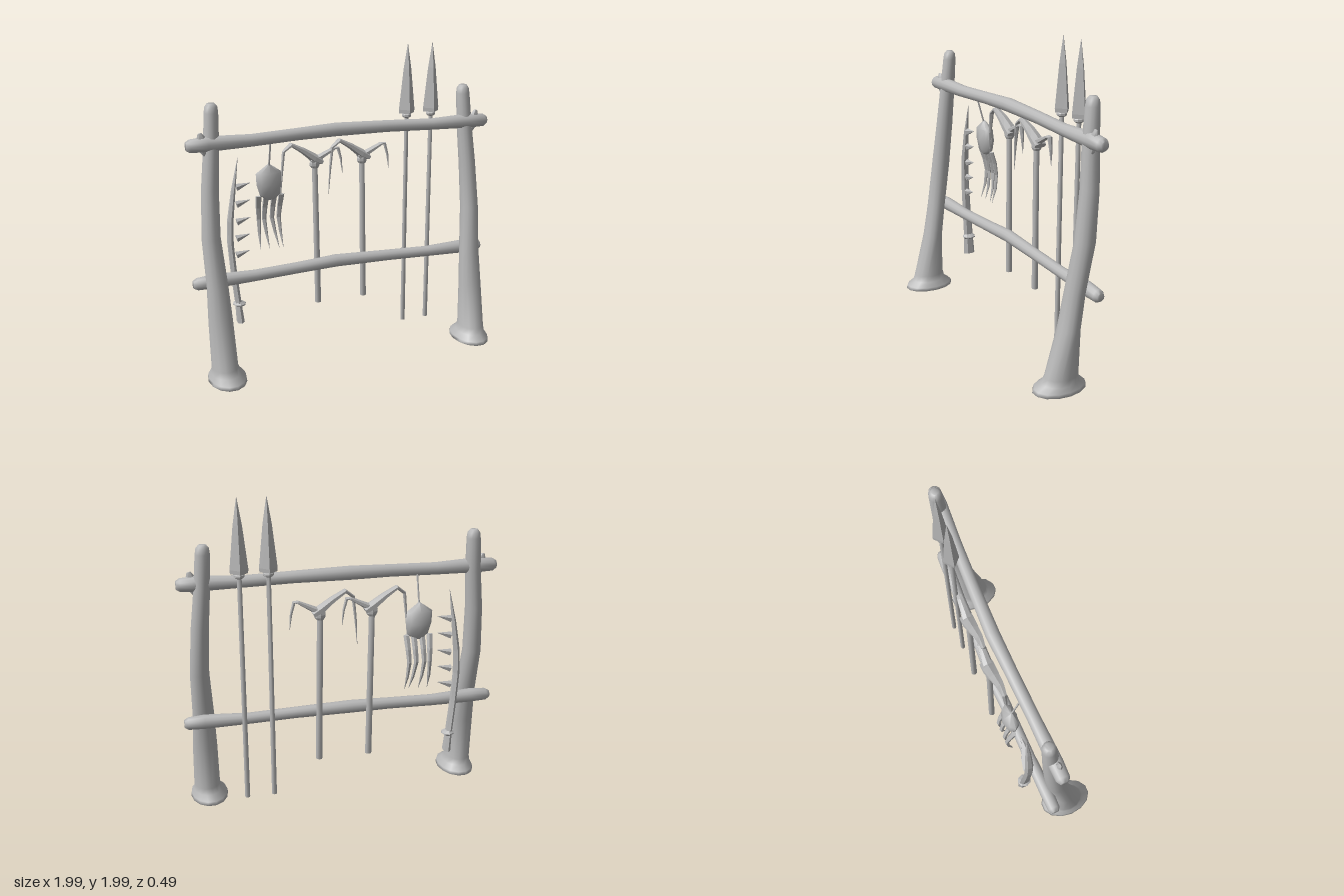
import * as THREE from 'three';
import { toCreasedNormals } from 'three/addons/utils/BufferGeometryUtils.js';

const X = new THREE.Vector3(1, 0, 0), Y = new THREE.Vector3(0, 1, 0), Z = new THREE.Vector3(0, 0, 1);
const DOWN = new THREE.Vector3(0, -1, 0);

// Closed solid through elliptical rings [x, y, z, radius in the xy plane, radius towards z].
// Rings stand square to "axis" (pointing from first to last ring), or to the path where none is given.
function loft(rings, sides, { axis = null, crease = 0.01, turn = 0 } = {}) {
  const pos = [], index = [];
  const at = i => new THREE.Vector3(...rings[Math.max(0, Math.min(rings.length - 1, i))].slice(0, 3));
  rings.forEach(([, , , rn, rb], j) => {
    const c = at(j);
    const t = axis ? axis.clone() : at(j + 1).sub(at(j - 1)).normalize();
    const b = Z.clone().addScaledVector(t, -t.z).normalize();
    const n = b.clone().cross(t);
    for (let i = 0; i < sides; i++) {
      const a = (i / sides) * Math.PI * 2 + turn;
      const p = c.clone().addScaledVector(n, Math.cos(a) * rn).addScaledVector(b, Math.sin(a) * rb);
      pos.push(p.x, p.y, p.z);
    }
  });
  for (let j = 0; j < rings.length - 1; j++) {
    for (let i = 0; i < sides; i++) {
      const a = j * sides + i, b = j * sides + (i + 1) % sides;
      index.push(a, b, b + sides, a, b + sides, a + sides);
    }
  }
  // end caps
  const last = (rings.length - 1) * sides;
  for (let i = 1; i < sides - 1; i++) {
    index.push(0, i + 1, i, last, last + i, last + i + 1);
  }
  const g = new THREE.BufferGeometry();
  g.setAttribute('position', new THREE.Float32BufferAttribute(pos, 3));
  g.setIndex(index);
  return toCreasedNormals(g, crease);
}

export function createModel() {
  const model = new THREE.Group();
  model.name = 'weaponRack';
  const grey = new THREE.MeshStandardMaterial({ color: 0xb8b8b8 });
  grey.name = 'plain grey';
  const add = (name, geometry, parent = model) => {
    const m = new THREE.Mesh(geometry, grey);
    m.name = name;
    parent.add(m);
  };
  const group = name => {
    const g = new THREE.Group();
    g.name = name;
    model.add(g);
    return g;
  };

  // leaning posts with flared feet
  for (const s of [-1, 1]) {
    const rings = [
      [0.85, 0, 0.07, 0.12, 0.174], [0.85, 0.022, 0.07, 0.116, 0.166],
      [0.857, 0.05, 0.068, 0.092, 0.12], [0.862, 0.09, 0.065, 0.083, 0.108],
      [0.866, 0.38, 0.024, 0.077, 0.064], [0.868, 0.6, -0.01, 0.067, 0.06],
      [0.882, 0.9, -0.06, 0.059, 0.063], [0.868, 1.2, -0.09, 0.054, 0.057],
      [0.845, 1.45, -0.105, 0.049, 0.05], [0.833, 1.66, -0.119, 0.044, 0.042],
      [0.832, 1.695, -0.12, 0.039, 0.037], [0.832, 1.715, -0.121, 0.024, 0.023],
    ].map(([x, ...r]) => [s * x, ...r]);
    add(s > 0 ? 'leftPost' : 'rightPost', loft(rings, 14, { axis: Y, crease: 2.5 }));
    // small peg through each upper joint
    add('jointPeg', loft([
      [s * 0.885, 1.405, -0.085, 0.008, 0.006], [s * 0.895, 1.435, -0.085, 0.022, 0.018],
      [s * 0.908, 1.52, -0.085, 0.026, 0.018], [s * 0.915, 1.548, -0.085, 0.012, 0.006],
    ], 6, { crease: 0.7 }));
  }

  // slightly bowed rails
  const rail = (name, yEnd, yMid, zEnd, zMid, r) => add(name, loft([
    [-1, yEnd, zEnd, r * 0.6, r * 0.6], [-0.975, yEnd, zEnd, r * 0.95, r * 0.95],
    [-0.87, yEnd + 0.003, zEnd - 0.002, r * 1.1, r * 1.05], [-0.6, yEnd, zEnd - 0.01, r * 0.9, r * 0.9],
    [-0.3, yEnd + 0.01, zMid + 0.01, r * 0.9, r * 0.9], [-0.05, yMid, zMid, r, r],
    [0.3, yEnd + 0.01, zMid + 0.01, r * 0.88, r * 0.88], [0.6, yEnd, zEnd - 0.01, r * 0.86, r * 0.86],
    [0.87, yEnd + 0.003, zEnd - 0.002, r * 1.1, r * 1.05], [0.97, yEnd, zEnd, r * 0.95, r * 0.95],
    [0.994, yEnd, zEnd, r * 0.6, r * 0.6],
  ], 12, { axis: X, crease: 1.1 }));
  rail('topRail', 1.475, 1.49, -0.09, -0.122, 0.044);
  rail('lowerRail', 0.592, 0.61, -0.1, -0.125, 0.041);

  // spears with four-sided heads
  for (const x of [0.46, 0.632]) {
    const g = group('spear'), z = -0.175;
    add('spearShaft', loft([[x, 0.08, z, 0.016, 0.016], [x, 1.55, z, 0.014, 0.014]], 8, { crease: 0.9 }), g);
    add('spearCollar', loft([[x, 1.515, z, 0.018, 0.018], [x, 1.525, z, 0.032, 0.032],
      [x, 1.537, z, 0.032, 0.032], [x, 1.55, z, 0.022, 0.022]], 8), g);
    add('spearHead', loft([[x, 1.545, z, 0.053, 0.048], [x, 1.57, z, 0.055, 0.05],
      [x, 1.83, z, 0.027, 0.025], [x, 1.99, z, 0.001, 0.001]], 4), g);
  }

  // picks with two hooked arms
  for (const x of [-0.16, 0.163]) {
    const g = group('pick'), z = -0.199;
    add('pickHandle', loft([[x + 0.007, 0.305, z + 0.005, 0.021, 0.021], [x - 0.004, 1.25, z, 0.019, 0.019]],
      8, { crease: 0.9 }), g);
    add('pickCollar', loft([[x - 0.004, 1.235, z, 0.024, 0.024], [x - 0.004, 1.25, z, 0.034, 0.03],
      [x - 0.004, 1.265, z, 0.034, 0.03], [x, 1.3, z, 0.02, 0.025]], 8), g);
    add('pickLongArm', loft([
      [x + 0.04, 1.272, z, 0.02, 0.046], [x - 0.01, 1.3, z, 0.028, 0.046], [x - 0.085, 1.355, z + 0.003, 0.019, 0.037],
      [x - 0.162, 1.4, z + 0.008, 0.013, 0.027], [x - 0.212, 1.36, z + 0.012, 0.011, 0.017],
      [x - 0.228, 1.22, z + 0.015, 0.008, 0.01], [x - 0.24, 1.05, z + 0.015, 0.001, 0.001],
    ], 6), g);
    add('pickShortArm', loft([
      [x - 0.03, 1.277, z, 0.02, 0.03], [x + 0.03, 1.3, z, 0.02, 0.03], [x + 0.13, 1.352, z + 0.003, 0.01, 0.022],
      [x + 0.152, 1.352, z + 0.006, 0.011, 0.018], [x + 0.17, 1.28, z + 0.01, 0.008, 0.012],
      [x + 0.18, 1.18, z + 0.012, 0.001, 0.001],
    ], 6), g);
  }

  // hanging claw: cord, rounded palm and four bent talons
  const claw = group('hangingClaw');
  add('clawCord', loft([[-0.47, 1.46, -0.13, 0.006, 0.006], [-0.47, 1.27, -0.185, 0.006, 0.006]], 5, { axis: DOWN }), claw);
  add('clawPalm', loft([
    [-0.47, 1.29, -0.187, 0.008, 0.008], [-0.471, 1.235, -0.19, 0.084, 0.04], [-0.468, 1.16, -0.193, 0.083, 0.048],
    [-0.463, 1.09, -0.193, 0.068, 0.036], [-0.466, 1.06, -0.193, 0.03, 0.018],
  ], 8, { axis: DOWN, crease: 1 }), claw);
  for (const [top, mid, tip] of [[-0.54, -0.532, -0.535], [-0.49, -0.497, -0.476],
    [-0.437, -0.445, -0.412], [-0.39, -0.4, -0.385]]) {
    add('talon', loft([
      [top, 1.085, -0.196, 0.02, 0.014], [(top + mid) / 2, 1.0, -0.225, 0.018, 0.014],
      [mid, 0.92, -0.239, 0.015, 0.012], [(mid + tip) / 2, 0.82, -0.228, 0.01, 0.01], [tip, 0.725, -0.197, 0.001, 0.001],
    ], 5, { axis: DOWN }), claw);
  }

  // bowed toothed blade
  const saw = group('toothedBlade');
  add('bladeSpine', loft([
    [-0.69, 0.255, -0.182, 0.025, 0.042], [-0.7, 0.38, -0.182, 0.02, 0.036], [-0.722, 0.6, -0.18, 0.02, 0.032],
    [-0.736, 0.8, -0.178, 0.02, 0.03], [-0.732, 0.95, -0.176, 0.02, 0.028], [-0.705, 1.15, -0.175, 0.014, 0.019],
    [-0.67, 1.355, -0.175, 0.001, 0.001],
  ], 6, { turn: Math.PI / 6 }), saw);
  add('bladeGuard', loft([[-0.695, 0.365, -0.182, 0.018, 0.03], [-0.693, 0.38, -0.182, 0.042, 0.046],
    [-0.694, 0.386, -0.182, 0.042, 0.046], [-0.697, 0.4, -0.182, 0.018, 0.03]], 8, { axis: Y }), saw);
  [[-0.685, 1.165], [-0.688, 1.055], [-0.69, 0.94], [-0.695, 0.83], [-0.7, 0.72]].forEach(([x, y]) => {
    add('bladeTooth', loft([[x, y, -0.176, 0.024, 0.022], [x + 0.088, y + 0.022, -0.176, 0.001, 0.001]], 5), saw);
  });
  return model;
}
